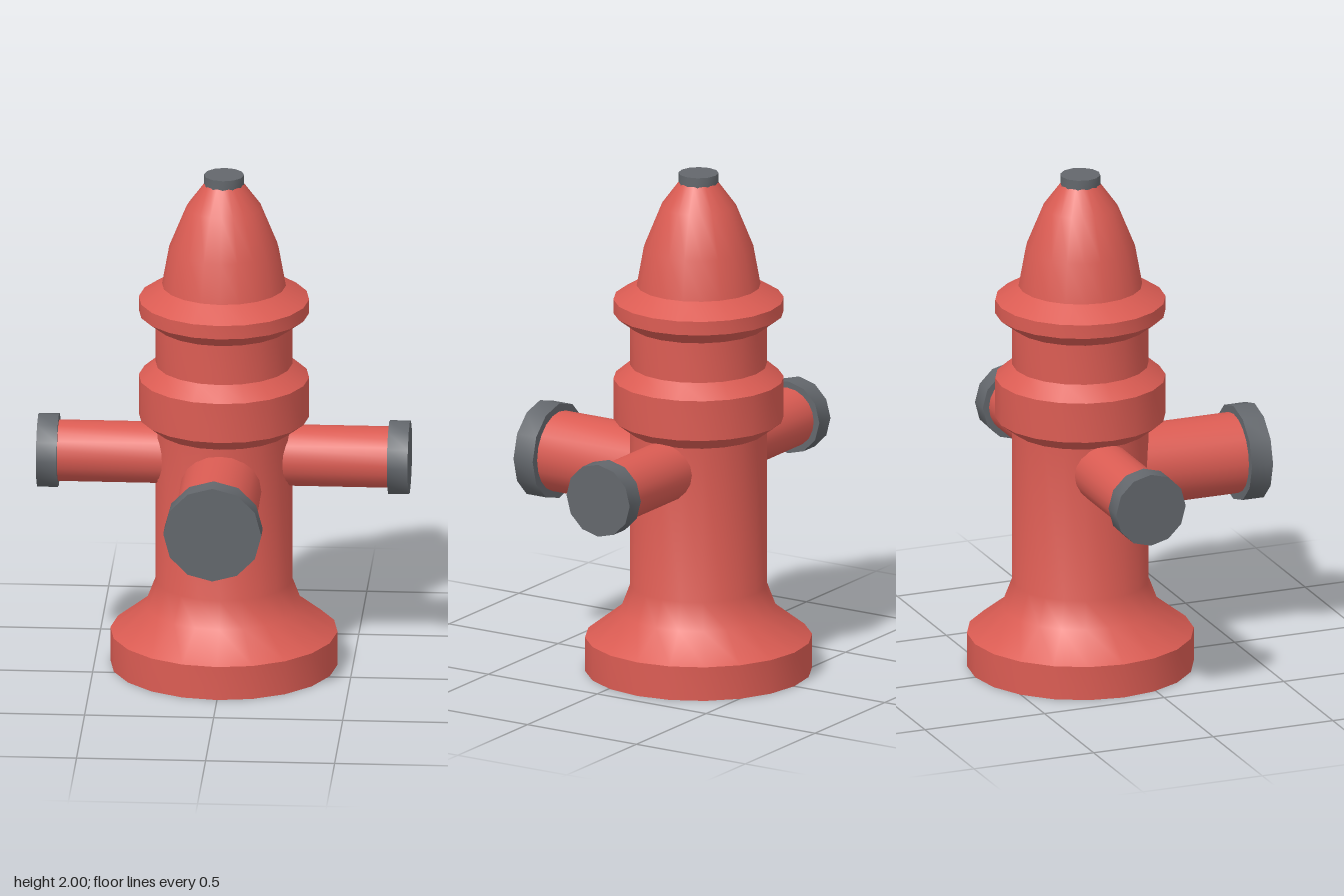
import * as THREE from 'three';
import { toCreasedNormals } from 'three/addons/utils/BufferGeometryUtils.js';

const red = new THREE.MeshStandardMaterial({ color: 0xdb5c53 });
red.name = 'red paint';
const grey = new THREE.MeshStandardMaterial({ color: 0x63676c });
grey.name = 'grey metal';

const CREASE = THREE.MathUtils.degToRad(35);
const AXIS_Z = -0.145;

function part(name, geometry, material) {
  const mesh = new THREE.Mesh(toCreasedNormals(geometry, CREASE), material);
  mesh.name = name;
  return mesh;
}

// Cylinder standing on +y between two distances from the origin
function drum(name, radius, from, to, sides, material) {
  const geometry = new THREE.CylinderGeometry(radius, radius, to - from, sides);
  geometry.translate(0, (from + to) / 2, 0);
  return part(name, geometry, material);
}

// Outlet pipe with a wider cap, built along +y from the body axis
function outlet(name, pipeRadius, capRadius, capStart, capEnd) {
  const group = new THREE.Group();
  group.name = name;
  group.add(drum('pipe', pipeRadius, 0.1, capStart + 0.01, 20, red));
  group.add(drum('outletCap', capRadius, capStart, capEnd, 12, grey));
  return group;
}

export function createModel() {
  const model = new THREE.Group();
  model.name = 'hydrant';

  // Turned body: base, barrel, two collars and dome
  const profile = [
    [0, 0], [0.44, 0], [0.44, 0.135], [0.305, 0.24], [0.265, 0.345],
    [0.265, 0.965], [0.33, 1.015], [0.33, 1.175], [0.265, 1.23],
    [0.265, 1.39], [0.33, 1.44], [0.33, 1.495], [0.24, 1.55],
    [0.212, 1.705], [0.145, 1.87], [0.075, 1.965], [0, 1.965],
  ].map(([r, y]) => new THREE.Vector2(r, y));
  const body = part('body', new THREE.LatheGeometry(profile, 20), red);
  body.position.z = AXIS_Z;
  model.add(body);

  // Nut on top of the dome
  const nut = drum('topNut', 0.078, 1.96, 2, 12, grey);
  nut.position.z = AXIS_Z;
  model.add(nut);

  // Mirrored side outlets
  for (const side of [1, -1]) {
    const arm = outlet(side > 0 ? 'leftOutlet' : 'rightOutlet', 0.119, 0.145, 0.64, 0.72);
    arm.rotation.z = -side * Math.PI / 2;
    arm.position.set(0, 0.856, AXIS_Z);
    model.add(arm);
  }

  // Large front outlet
  const front = outlet('frontOutlet', 0.158, 0.19, 0.64, 0.728);
  front.rotation.x = Math.PI / 2;
  front.position.set(0, 0.778, AXIS_Z);
  model.add(front);

  return model;
}
